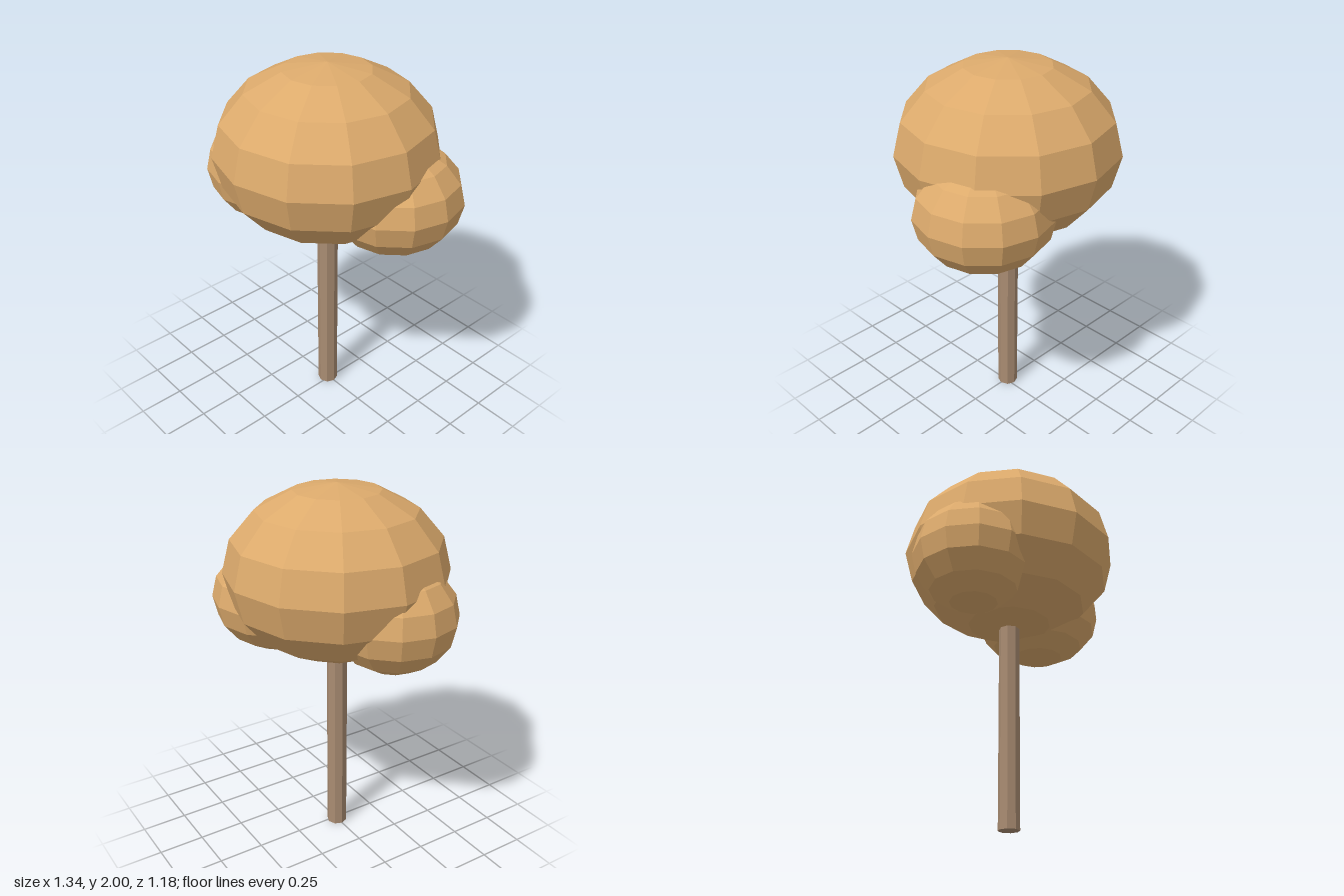
import * as THREE from 'three';

export function createModel() {
  const tree = new THREE.Group();
  tree.name = 'tree';

  const foliage = new THREE.MeshStandardMaterial({ color: 0xdcaa6c, flatShading: true });
  foliage.name = 'autumn foliage';
  const bark = new THREE.MeshStandardMaterial({ color: 0xa98c72, flatShading: true });
  bark.name = 'bark';

  // Trunk: slim octagonal post reaching into the crown
  const trunkHeight = 1.3;
  const trunk = new THREE.Mesh(new THREE.CylinderGeometry(0.056, 0.056, trunkHeight, 8), bark);
  trunk.name = 'trunk';
  trunk.position.set(-0.016, trunkHeight / 2, 0);
  tree.add(trunk);

  // Foliage: faceted, slightly flattened spheres
  function addClump(name, radius, halfHeight, x, y, z) {
    const geometry = new THREE.SphereGeometry(radius, 12, 8);
    geometry.scale(1, halfHeight / radius, 1);
    const clump = new THREE.Mesh(geometry, foliage);
    clump.name = name;
    clump.position.set(x, y, z);
    tree.add(clump);
  }
  addClump('mainCrown', 0.588, 0.455, -0.016, 1.545, 0);
  addClump('leftClump', 0.36, 0.291, 0.31, 1.346, -0.165);
  addClump('rightClump', 0.33, 0.291, -0.34, 1.376, 0.13);

  return tree;
}
